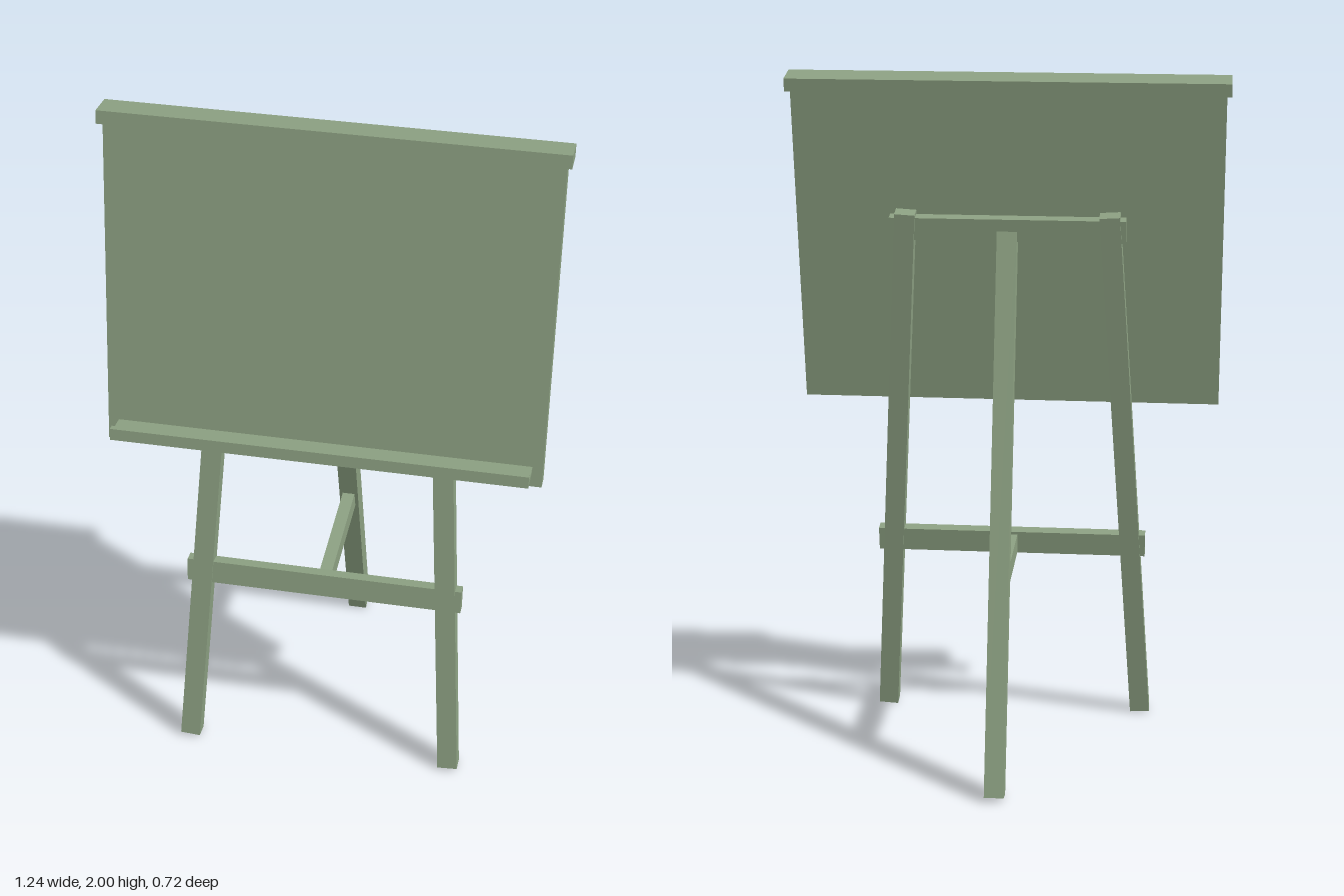
import * as THREE from 'three';

const material = new THREE.MeshStandardMaterial({ color: 0x8ca082, flatShading: true });
const TILT = -0.157; // backward lean shared by the board and the front frame

function box(name, size, position, tilt = 0) {
  const mesh = new THREE.Mesh(new THREE.BoxGeometry(...size), material);
  mesh.name = name;
  mesh.position.set(...position);
  mesh.rotation.x = tilt;
  return mesh;
}

// Square-ended timber running from one point to another
function beam(name, from, to, width, depth) {
  const a = new THREE.Vector3(...from);
  const b = new THREE.Vector3(...to);
  const y = b.clone().sub(a);
  const mesh = box(name, [width, y.length(), depth], a.clone().add(b).multiplyScalar(0.5).toArray());
  y.normalize();
  const z = new THREE.Vector3(1, 0, 0).cross(y).normalize();
  const x = y.clone().cross(z);
  mesh.quaternion.setFromRotationMatrix(new THREE.Matrix4().makeBasis(x, y, z));
  return mesh;
}

export function createModel() {
  const model = new THREE.Group();
  model.name = 'boardOnEasel';

  // Board with its top cap and tray, leaning back about its lower edge
  const board = new THREE.Group();
  board.name = 'boardAssembly';
  board.position.set(0, 1.03, 0.239);
  board.rotation.x = TILT;
  board.add(
    box('boardPanel', [1.214, 0.94, 0.05], [0, 0.47, 0]),
    box('topCap', [1.24, 0.037, 0.086], [0, 0.955, 0]),
    box('trayShelf', [1.156, 0.015, 0.093], [0, 0.053, 0.0715]),
    box('trayLip', [1.156, 0.034, 0.019], [0, 0.062, 0.1085])
  );
  model.add(board);

  // Splayed front legs
  for (const [side, s] of [['left', 1], ['right', -1]]) {
    model.add(beam(side + 'FrontLeg', [s * 0.391, 0.006, 0.338], [s * 0.289, 1.608, 0.08], 0.058, 0.048));
  }

  // Rear leg and rails
  model.add(
    beam('rearLeg', [0, 0.009, -0.331], [0, 1.553, 0.089], 0.056, 0.058),
    box('upperRail', [0.67, 0.066, 0.034], [0, 1.563, 0.091], TILT),
    box('lowerRail', [0.8, 0.07, 0.034], [0, 0.578, 0.247], TILT),
    box('rearBrace', [0.036, 0.056, 0.41], [0, 0.573, 0.035])
  );
  return model;
}
